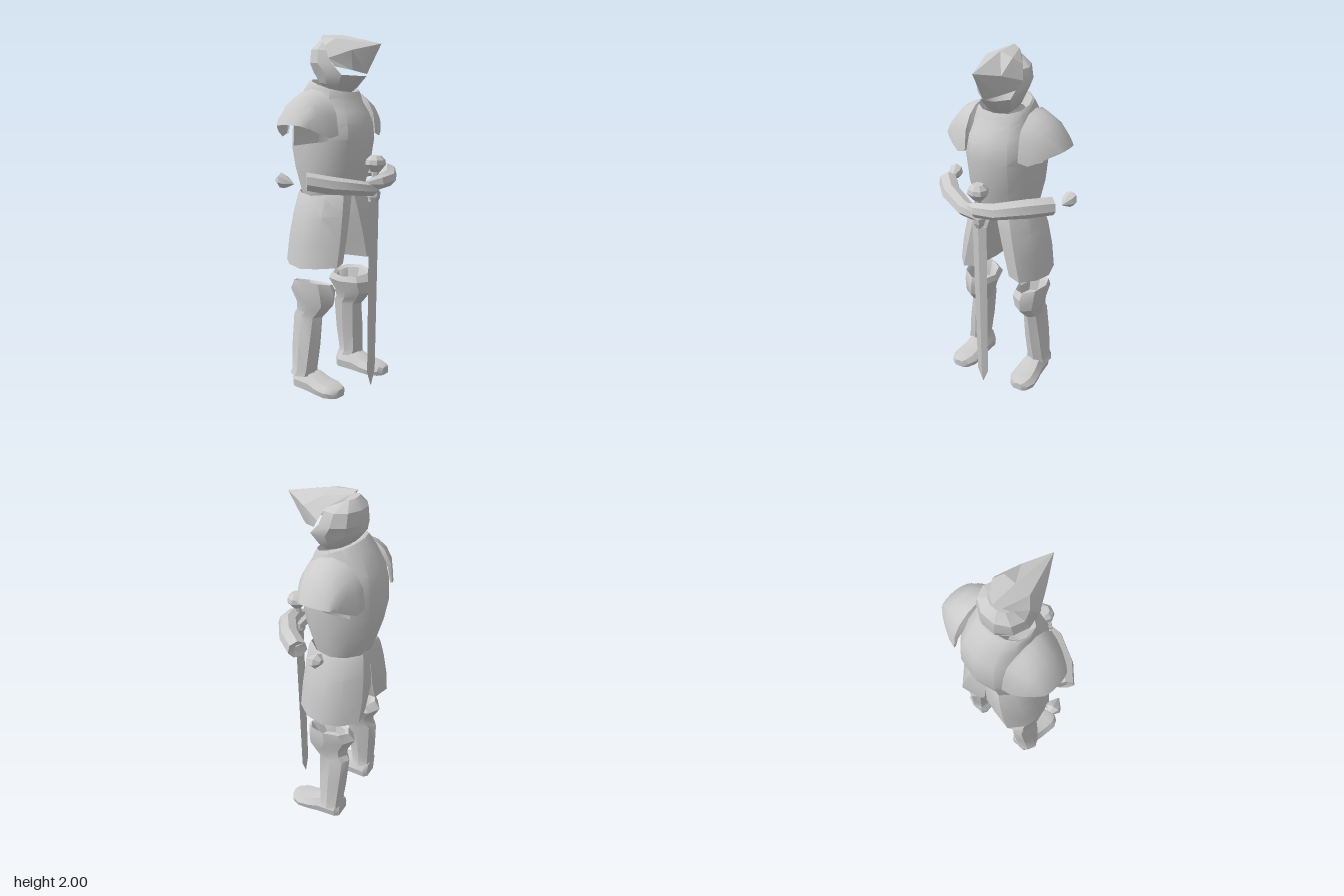
import * as THREE from 'three';
import { toCreasedNormals } from 'three/addons/utils/BufferGeometryUtils.js';

const steel = new THREE.MeshStandardMaterial({ color: 0xcccccc });
const thinSteel = new THREE.MeshStandardMaterial({ color: 0xcccccc, side: THREE.DoubleSide });
const V = (x, y, z) => new THREE.Vector3(x, y, z);

// Skin a list of cross-sections; skip(row, i) leaves a hole
function loft(rings, { closed = true, capStart = false, capEnd = false, skip = () => false, crease = 0.6 } = {}) {
  const pos = [];
  const tri = (...pts) => pts.forEach(p => pos.push(p.x, p.y, p.z));
  const n = rings[0].length;
  for (let r = 0; r < rings.length - 1; r++) {
    for (let i = 0; i < (closed ? n : n - 1); i++) {
      if (skip(r, i)) continue;
      const j = (i + 1) % n, a = rings[r], b = rings[r + 1];
      tri(a[i], b[i], a[j]);
      tri(a[j], b[i], b[j]);
    }
  }
  const cap = (ring, flip) => {
    const c = ring.reduce((s, p) => s.add(p), V(0, 0, 0)).divideScalar(n);
    ring.forEach((p, i) => {
      const q = ring[(i + 1) % n];
      flip ? tri(c, p, q) : tri(c, q, p);
    });
  };
  if (capStart) cap(rings[0], true);
  if (capEnd) cap(rings[rings.length - 1], false);
  const g = new THREE.BufferGeometry();
  g.setAttribute('position', new THREE.Float32BufferAttribute(pos, 3));
  return toCreasedNormals(g, crease);
}

// Mirror across x = 0, keeping faces outward
function mirrored(geo) {
  const g = geo.clone().scale(-1, 1, 1);
  const p = g.attributes.position, a = V(), b = V();
  for (let i = 0; i < p.count; i += 3) {
    a.fromBufferAttribute(p, i + 1);
    b.fromBufferAttribute(p, i + 2);
    p.setXYZ(i + 1, b.x, b.y, b.z);
    p.setXYZ(i + 2, a.x, a.y, a.z);
  }
  return toCreasedNormals(g, 0.6);
}

// Horizontal ring: front/back heights, centre x, half width, front/back z, sideways tilt, squareness
function ring(n, yf, yb, cx, rx, zf, zb, tiltX = 0, power = 1) {
  const shape = v => Math.sign(v) * Math.pow(Math.abs(v), power);
  return Array.from({ length: n }, (_, i) => {
    const a = i / n * Math.PI * 2;
    const c = shape(Math.round(Math.cos(a) * 1e6) / 1e6), s = shape(Math.round(Math.sin(a) * 1e6) / 1e6);
    return V(cx + rx * c, (yf + yb) / 2 + s * (yf - yb) / 2 + tiltX * c, (zf + zb) / 2 + s * (zf - zb) / 2);
  });
}

// Limb along a path of [x, y, z, half height, half width]
function limb(path, n = 7) {
  const pts = path.map(p => V(p[0], p[1], p[2]));
  return path.map((p, k) => {
    const d = pts[Math.min(k + 1, pts.length - 1)].clone().sub(pts[Math.max(k - 1, 0)]).normalize();
    const side = V(0, 1, 0).cross(d).normalize();
    return Array.from({ length: n }, (_, i) => {
      const a = i / n * Math.PI * 2;
      return pts[k].clone().addScaledVector(side, Math.sin(a) * p[4]).add(V(0, Math.cos(a) * p[3], 0));
    });
  });
}

export function createModel() {
  const model = new THREE.Group();
  const add = (name, geo, mat = steel) => {
    const m = new THREE.Mesh(geo, mat);
    m.name = name;
    model.add(m);
  };
  const pair = (name, geo, mat) => {
    add(name + 'Left', geo, mat);
    add(name + 'Right', mirrored(geo), mat);
  };

  // Cuirass with arm holes and a tilted collar
  add('cuirass', loft([
    [1.11, 1.11, .178, .09, -.23], [1.25, 1.25, .205, .135, -.275], [1.43, 1.37, .215, .168, -.3],
    [1.51, 1.51, .21, .16, -.295], [1.57, 1.6, .19, .135, -.275], [1.62, 1.7, .165, .1, -.22], [1.65, 1.755, .155, .085, -.175],
    [1.68, 1.755, .145, .07, -.16], [1.62, 1.69, .12, .045, -.13],
  ].map(([yf, yb, rx, zf, zb]) => ring(12, yf, yb, 0, rx, zf, zb, 0, .87)),
  { skip: (r, i) => r === 2 && [0, 5, 6, 11].includes(i) }), thinSteel);

  // Shoulder plates: arcs over the shoulder, [x, back z, front z, top, bottom, lower edge offset]
  pair('shoulderPlate', loft([
    [.135, -.255, .095, 1.65, 1.45, .03], [.165, -.268, .112, 1.695, 1.45, 0], [.2, -.25, .1, 1.683, 1.435, .02], [.265, -.222, .07, 1.65, 1.46, .01],
    [.335, -.192, .038, 1.565, 1.485, -.015], [.367, -.172, .015, 1.505, 1.495, -.025],
  ].map(([x, zb, zf, top, bot, spread]) => Array.from({ length: 9 }, (_, i) => {
    const a = Math.PI * i / 8, s = Math.sin(a);
    return V(x + spread * (1 - s), bot + (top - bot) * Math.pow(s, .8), (zb + zf) / 2 - (zf - zb) / 2 * Math.cos(a));
  })), { closed: false }), thinSteel);

  // Helmet: jaw all around, skull open at the face
  add('helmet', loft([
    [1.67, 1.72, .08, .04, -.1], [1.705, 1.74, .105, .09, -.14], [1.765, 1.79, .128, .15, -.18],
    [1.83, 1.84, .146, .08, -.185], [1.9, 1.915, .13, .045, -.178], [1.94, 1.965, .07, -.03, -.135],
  ].map(([yf, yb, rx, zf, zb]) => ring(10, yf, yb, 0, rx, zf, zb)),
  { capEnd: true, crease: .45, skip: (r, i) => r >= 2 && r < 4 && i > 0 && i < 4 }));

  // Raised pointed visor, each row from back to front
  const half = [
    [[.07, 1.955, -.09], [.115, 1.93, -.02], [.14, 1.86, .02], [.122, 1.815, .05]],
    [[.04, 1.985, -.115], [.078, 1.967, .02], [.08, 1.9, .135], [.064, 1.795, .125]],
    [[0, 2, -.135], [0, 1.99, .01], [0, 1.93, .27], [0, 1.775, .175]],
  ].map(row => row.map(p => V(...p)));
  const otherHalf = half.slice(0, 2).reverse().map(row => row.map(p => V(-p.x, p.y, p.z)));
  add('visor', loft([...half, ...otherHalf], { closed: false, crease: .3 }), thinSteel);

  // Skirt: two flared legs joined at the waist, notched at front and back
  const skirtRing = ([y, out, zf, zb, inF, inM, inB]) => {
    const cz = (zf + zb) / 2, d = (zf - zb) / 2, w = out - inM;
    return [
      V(out, y - .01, cz), V(out - w * .1, y, cz + d * .55), V(inM + w * .55, y + .005, zf), V(inF, y + .015, zf - .02),
      V(inM, y + .015, cz), V(inB, y + .015, zb + .02), V(inM + w * .55, y + .005, zb), V(out - w * .1, y, cz - d * .55),
    ];
  };
  pair('skirt', loft([
    [.8, .24, .08, -.21, .12, .1, .11], [.73, .262, .1, -.24, .125, .09, .08], [.72, .28, .118, -.258, .11, .075, .065],
    [.86, .265, .118, -.262, .075, .03, .008], [1, .237, .11, -.252, .038, 0, 0], [1.1, .195, .1, -.238, .01, 0, 0],
    [1.12, .185, .09, -.23, 0, 0, 0],
  ].map(skirtRing), { capStart: true }), thinSteel);

  // Greaves with flared knees and a sunken top
  pair('greave', loft([
    [.08, .215, .083, -.03, -.18, 0], [.11, .215, .07, -.025, -.175, 0], [.25, .2, .07, -.01, -.19, 0],
    [.42, .182, .06, .0, -.2, 0], [.45, .178, .065, .03, -.18, 0], [.5, .172, .078, .075, -.185, 0],
    [.57, .168, .098, .078, -.226, .005], [.615, .175, .09, .055, -.19, .02], [.6, .175, .075, .04, -.17, .02],
    [.53, .17, .06, .0, -.14, 0],
  ].map(([y, cx, rx, zf, zb, t]) => ring(8, y, y, cx, rx, zf, zb, t)), { capStart: true, capEnd: true, crease: .5 }));

  // Boots
  pair('boot', loft([
    [-.165, .05, .1], [-.14, .07, .1], [-.03, .072, .1], [.03, .08, .075], [.1, .083, .064], [.145, .06, .056], [.165, .03, .045],
  ].map(([z, w, h]) => [[0, 1], [.65, .9], [1, .45], [.92, 0], [-.92, 0], [-1, .45], [-.65, .9]]
    .map(([u, v]) => V(.205 + u * w + z * .05, v * h, z))), { capStart: true, capEnd: true, crease: .5 }));

  // Forearms crossing at the sword grip, flared toward the elbow
  add('forearmLeft', loft(limb([
    [.335, 1.22, .045, .015, .015], [.338, 1.215, .035, .05, .055], [.25, 1.22, .14, .054, .055],
    [.1, 1.205, .24, .045, .055], [0, 1.195, .255, .042, .042], [-.06, 1.19, .225, .018, .02],
  ]), { capStart: true, capEnd: true }));
  add('forearmRight', loft(limb([
    [-.335, 1.21, .045, .015, .015], [-.338, 1.21, .035, .05, .055], [-.25, 1.187, .13, .05, .055],
    [-.1, 1.165, .215, .042, .052], [0, 1.15, .225, .036, .04], [.035, 1.145, .22, .018, .02],
  ]), { capStart: true, capEnd: true }));

  // Elbow cups, pointing forward
  pair('elbowCup', loft(limb([
    [.385, 1.215, -.135, .015, .017], [.38, 1.212, -.108, .042, .042], [.372, 1.205, -.085, .036, .04], [.362, 1.195, -.038, .004, .004],
  ]), { capStart: true, capEnd: true }));

  // Sword
  const stack = (n, list) => loft(list.map(([y, z, rx, rz]) => ring(n, y, y, 0, rx, z + rz, z - rz)), { capStart: true, capEnd: true, crease: .3 });
  add('blade', stack(4, [[.015, .215, .002, .002], [.1, .216, .036, .013], [1.09, .228, .045, .015]]));
  add('guard', stack(6, [[1.08, .228, .02, .02], [1.11, .228, .032, .035], [1.14, .23, .032, .035], [1.15, .23, .022, .025]]));
  add('grip', stack(6, [[1.14, .23, .02, .02], [1.27, .238, .02, .02]]));
  add('pommel', stack(8, [[1.25, .238, .025, .025], [1.29, .238, .06, .056], [1.315, .238, .055, .052], [1.338, .238, .03, .03]]));
  return model;
}
